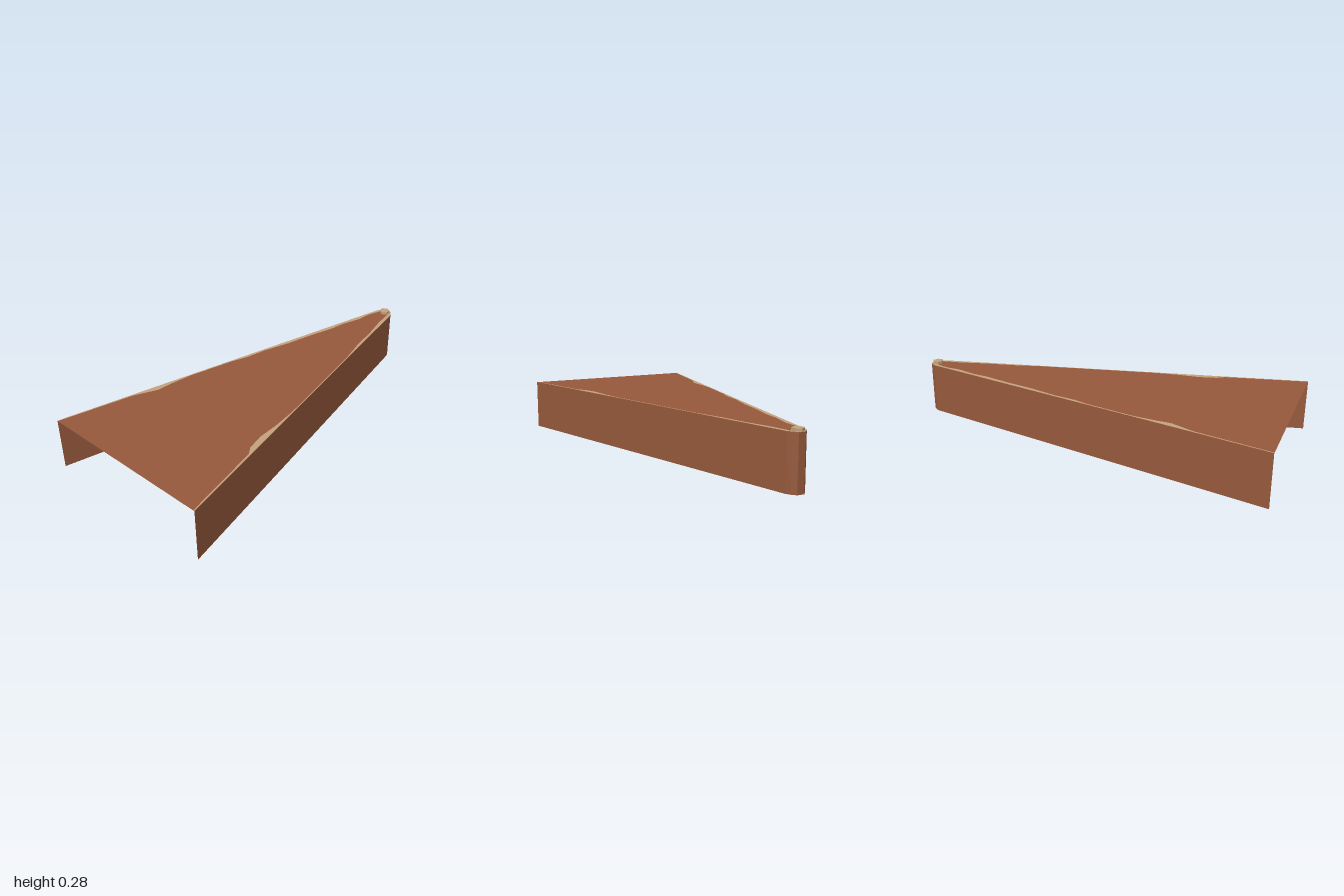
import * as THREE from 'three';

const TOP = 0.268;

// Plan outline as [x, z], running from the front left-hand corner round the tip
const outline = [
  [-0.475, 1], [-0.053, -0.955], [-0.045, -0.975], [-0.022, -1],
  [0.014, -1], [0.032, -0.98], [0.045, -0.955], [0.475, 1],
];

// Flat upward-facing plate from [x, z] points
function plate(points, y) {
  const shape = new THREE.Shape(points.map(([x, z]) => new THREE.Vector2(x, -z)));
  return new THREE.ShapeGeometry(shape).rotateX(-Math.PI / 2).translate(0, y, 0);
}

// Upright wall along the outline, open at the front
function wallGeometry(points, height) {
  const pos = [];
  for (let i = 0; i < points.length - 1; i++) {
    const [ax, az] = points[i];
    const [bx, bz] = points[i + 1];
    pos.push(ax, 0, az, ax, height, az, bx, height, bz);
    pos.push(ax, 0, az, bx, height, bz, bx, 0, bz);
  }
  const g = new THREE.BufferGeometry();
  g.setAttribute('position', new THREE.Float32BufferAttribute(pos, 3));
  g.computeVertexNormals();
  return g;
}

// Uneven strip following one long edge: rows of [z, width]
function edgeStrip(side, rows) {
  const tip = side < 0 ? 0.053 : 0.045;
  const edge = (z) => tip + (0.475 - tip) * (z + 0.955) / 1.955;
  const outer = rows.map(([z]) => [side * edge(z), z]);
  const inner = rows.map(([z, w]) => [side * (edge(z) - w), z]).reverse();
  return plate([...outer, ...inner], TOP + 0.002);
}

export function createModel() {
  const model = new THREE.Group();
  const brown = new THREE.MeshStandardMaterial({ color: 0x96593c, side: THREE.DoubleSide });
  brown.name = 'brown crust';
  const tan = new THREE.MeshStandardMaterial({ color: 0xc4a27c, side: THREE.DoubleSide });
  tan.name = 'tan trim';

  const add = (name, geometry, material) => {
    const mesh = new THREE.Mesh(geometry, material);
    mesh.name = name;
    model.add(mesh);
    return mesh;
  };

  add('topPanel', plate(outline, TOP), brown);
  add('sideWalls', wallGeometry(outline, TOP), brown);

  // Worn trim along both long edges and round the tip
  add('rightEdgeTrim', edgeStrip(-1, [
    [-0.955, 0.02], [-0.88, 0.014], [-0.8, 0.026], [-0.68, 0.018], [-0.6, 0.026],
    [-0.45, 0.02], [-0.3, 0.022], [-0.15, 0.012], [-0.03, 0.018], [0.05, 0.008],
    [0.3, 0.007], [0.42, 0.02], [0.5, 0.034], [0.56, 0.022], [0.62, 0.009], [1, 0.005],
  ]), tan);
  add('leftEdgeTrim', edgeStrip(1, [
    [-0.955, 0.018], [-0.85, 0.022], [-0.7, 0.014], [-0.55, 0.016], [-0.4, 0.006],
    [0.2, 0.006], [0.33, 0.016], [0.45, 0.034], [0.54, 0.03], [0.58, 0.01], [1, 0.006],
  ]), tan);
  add('tipTrim', plate([...outline.slice(1, 7), [0.027, -0.955], [-0.004, -0.945], [-0.033, -0.955]], TOP + 0.002), tan);

  // Small six-sided stud at the tip
  const stud = add('tipStud', new THREE.CylinderGeometry(0.029, 0.029, 0.02, 6).toNonIndexed(), tan);
  stud.geometry.computeVertexNormals();
  stud.position.set(-0.004, 0.273, -0.969);

  return model;
}
